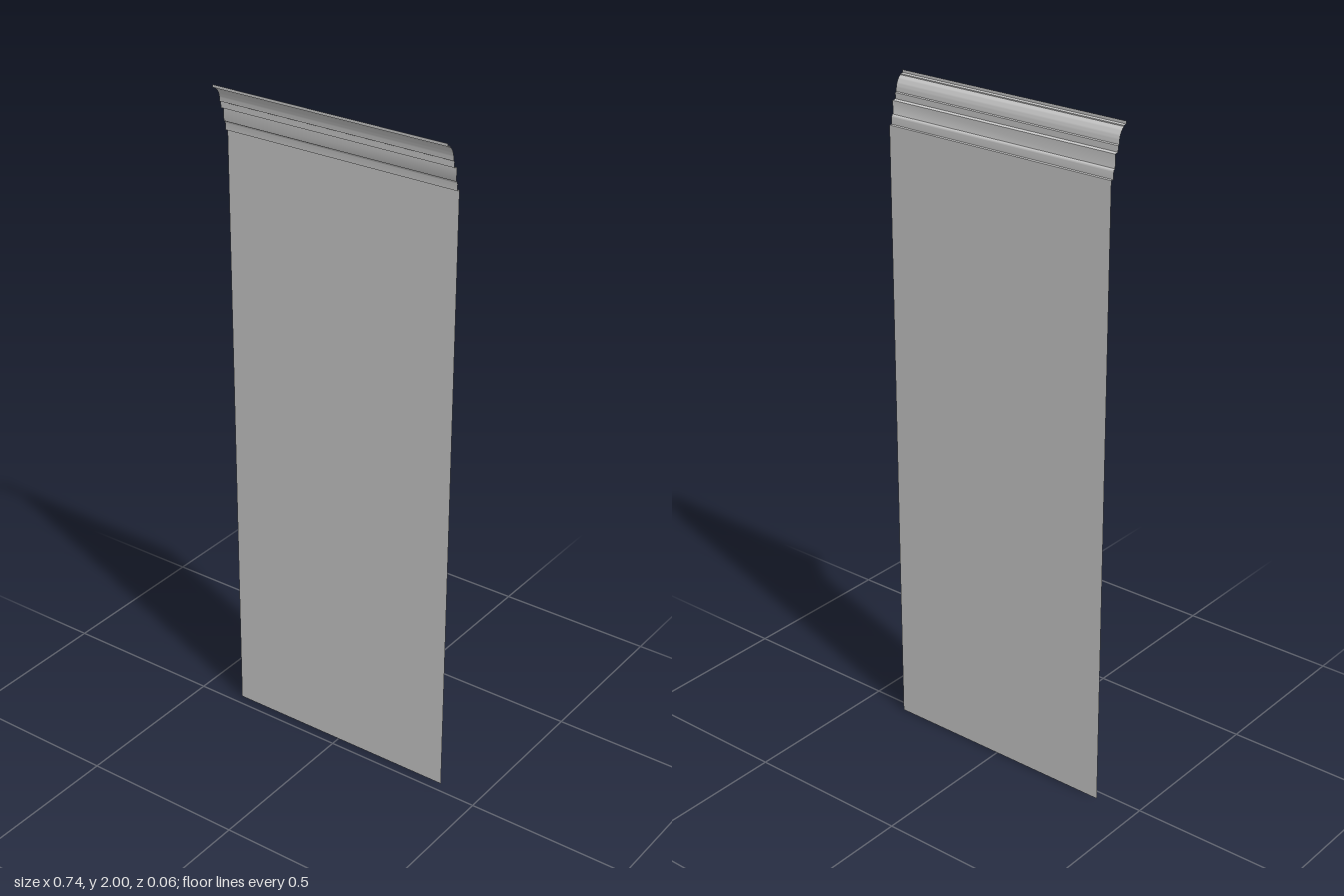
import * as THREE from 'three';
import { toCreasedNormals } from 'three/addons/utils/BufferGeometryUtils.js';

const HALF_WIDTH = 0.37;
const WALL_Z = -0.03;
const MOULDING_Y = 1.86;

// Sweep an open [z, y] profile along x into a thin sheet facing +z
function sheet(name, profile, material) {
  const positions = [];
  const index = [];
  profile.forEach(([z, y], i) => {
    positions.push(-HALF_WIDTH, y, z, HALF_WIDTH, y, z);
    if (i > 0) {
      const a = 2 * (i - 1);
      index.push(a, a + 1, a + 3, a, a + 3, a + 2);
    }
  });
  const geometry = new THREE.BufferGeometry();
  geometry.setAttribute('position', new THREE.Float32BufferAttribute(positions, 3));
  geometry.setIndex(index);
  const mesh = new THREE.Mesh(toCreasedNormals(geometry, Math.PI / 6), material);
  mesh.name = name;
  return mesh;
}

export function createModel() {
  const group = new THREE.Group();
  group.name = 'wallPanel';
  const material = new THREE.MeshStandardMaterial({ color: 0xcccccc, side: THREE.DoubleSide });

  // Flat panel
  group.add(sheet('panel', [[WALL_Z, 0], [WALL_Z, MOULDING_Y]], material));

  // Crown moulding: small cove, flat band, step, large cove, lip
  const path = new THREE.Path();
  path.moveTo(WALL_Z, MOULDING_Y);
  path.lineTo(-0.021, MOULDING_Y);
  path.lineTo(-0.021, 1.876);
  path.quadraticCurveTo(-0.021, 1.886, -0.015, 1.887);
  path.lineTo(-0.015, 1.925);
  path.lineTo(-0.004, 1.927);
  path.lineTo(-0.004, 1.944);
  path.lineTo(0, 1.946);
  path.bezierCurveTo(0, 1.965, 0.006, 1.98, 0.018, 1.988);
  path.lineTo(0.018, 1.991);
  path.lineTo(0.028, 1.992);
  path.lineTo(0.028, 2);
  group.add(sheet('crownMoulding', path.getPoints(10).map((p) => [p.x, p.y]), material));

  return group;
}
